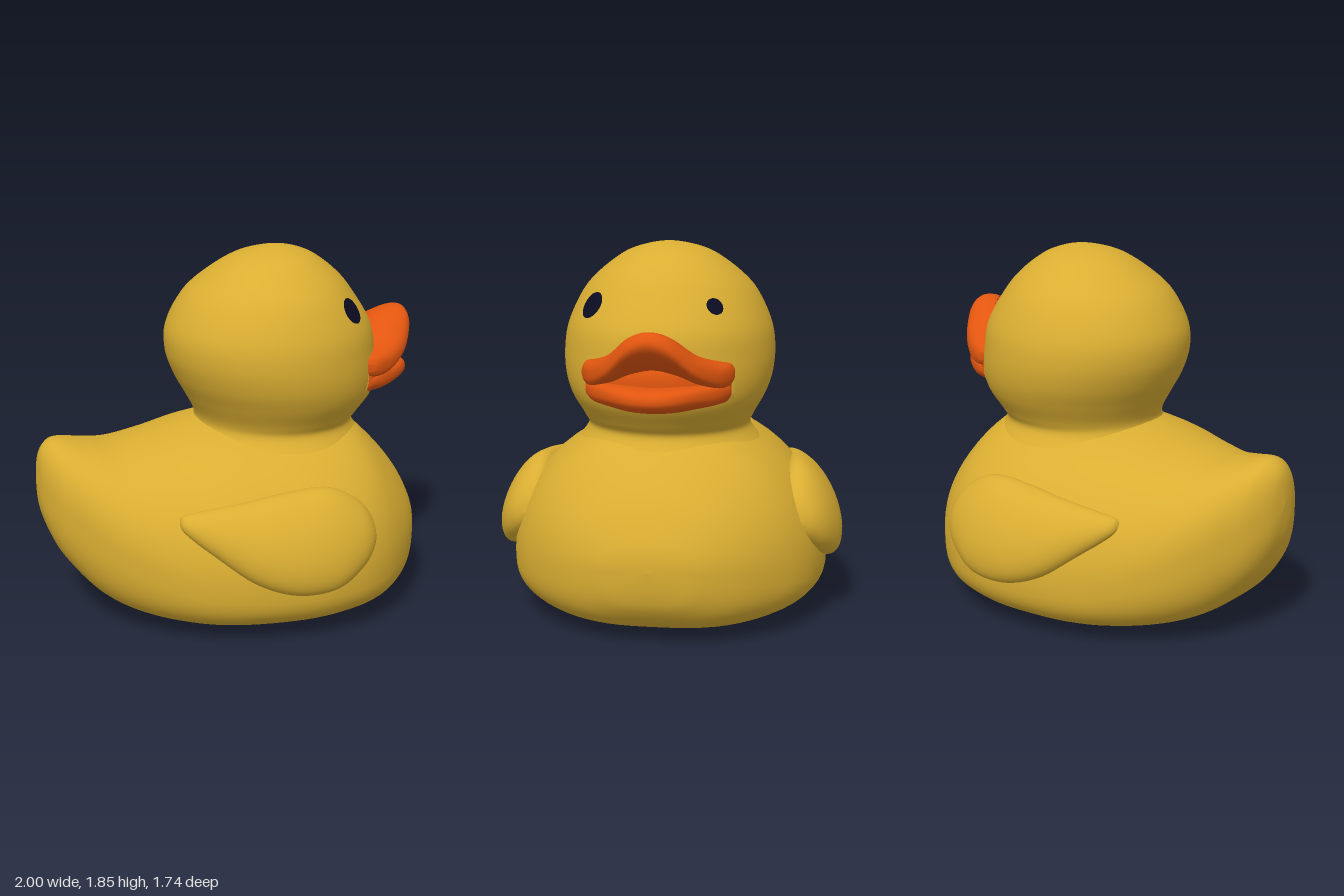
import * as THREE from 'three';

const yellow = new THREE.MeshStandardMaterial({ name: 'yellow', color: 0xdaae32 });
const orange = new THREE.MeshStandardMaterial({ name: 'orange', color: 0xe2560f });
const navy = new THREE.MeshStandardMaterial({ name: 'navy', color: 0x0c0c22 });

// Smooth interpolation through rows of section parameters, t in 0..1
function rowAt(rows, t) {
  const last = rows.length - 1;
  const i = Math.min(Math.floor(t * last), last - 1);
  const f = t * last - i;
  const a = rows[Math.max(i - 1, 0)], b = rows[i], c = rows[i + 1], d = rows[Math.min(i + 2, last)];
  return b.map((v, k) => v + 0.5 * f * (c[k] - a[k]
    + f * (2 * a[k] - 5 * v + 4 * c[k] - d[k] + f * (3 * (v - c[k]) + d[k] - a[k]))));
}

// Closed skin over rings; point(row, angle) returns one ring point
function loft(rows, point, along = 72, around = 64) {
  const pos = [], idx = [];
  for (let i = 0; i <= along; i++) {
    const row = rowAt(rows, i / along);
    for (let j = 0; j < around; j++) pos.push(...point(row, (j / around) * Math.PI * 2));
  }
  for (let i = 0; i < along; i++) {
    for (let j = 0; j < around; j++) {
      const k = (j + 1) % around;
      const a = i * around + j, b = i * around + k, c = a + around, d = b + around;
      idx.push(a, b, c, b, d, c);
    }
  }
  // End caps
  for (const ring of [0, along]) {
    const mid = [0, 0, 0];
    for (let j = 0; j < around; j++) {
      for (let k = 0; k < 3; k++) mid[k] += pos[(ring * around + j) * 3 + k] / around;
    }
    const m = pos.length / 3;
    pos.push(...mid);
    for (let j = 0; j < around; j++) {
      const a = ring * around + j, b = ring * around + (j + 1) % around;
      if (ring) idx.push(a, b, m); else idx.push(b, a, m);
    }
  }
  // Turn the faces outward
  const v = (i) => new THREE.Vector3().fromArray(pos, i * 3);
  let volume = 0;
  for (let i = 0; i < idx.length; i += 3) volume += v(idx[i]).dot(v(idx[i + 1]).cross(v(idx[i + 2])));
  if (volume < 0) idx.reverse();
  const geo = new THREE.BufferGeometry();
  geo.setAttribute('position', new THREE.Float32BufferAttribute(pos, 3));
  geo.setIndex(idx);
  geo.computeVertexNormals();
  return geo;
}

const power = (v, n) => Math.sign(v) * Math.abs(v) ** (2 / n);

// Body section: round above its widest level, squarer below
function bodyPoint([x, bottom, mid, top, width], a) {
  const s = Math.sin(a), c = Math.cos(a);
  if (s >= 0) return [x, mid + (top - mid) * s, width * c];
  return [x, mid + (mid - bottom) * power(s, 3), width * power(c, 3)];
}

const headPoint = ([y, cx, rx, rz], a) => [cx + rx * Math.cos(a), y, rz * Math.sin(a)];

// Wing section: upright ellipse leaning in at the top
function wingPoint([x, y, h, z, t], a) {
  const dy = h * Math.sin(a);
  return [x, y + dy, z + t * Math.cos(a) - 0.33 * dy];
}

// Lip section: rounded blade from its root to its tip
function lipPoint([z, x0, y0, x1, y1, b], a) {
  const u = power(Math.cos(a), 2.5) / 2, w = power(Math.sin(a), 2.5) * b;
  const dx = x1 - x0, dy = y1 - y0, len = Math.hypot(dx, dy);
  return [(x0 + x1) / 2 + dx * u - (dy / len) * w, (y0 + y1) / 2 + dy * u + (dx / len) * w, z];
}

// Mirror rows listed from the middle (z = 0) outward
const mirrorRows = (half) => [
  ...half.slice(1).reverse().map(([z, ...rest]) => [-z, ...rest]), ...half];

// Round eye draped over the head
function eyeGeometry(head, at, radius) {
  const centre = new THREE.Vector3(0.23, 1.33, 0);
  const ray = new THREE.Raycaster();
  const cast = (from) => {
    ray.set(from, centre.clone().sub(from).normalize());
    return ray.intersectObject(head)[0];
  };
  const start = new THREE.Vector3(...at).sub(centre).setLength(1).add(centre);
  const hit = cast(start);
  const turn = new THREE.Quaternion().setFromUnitVectors(new THREE.Vector3(0, 0, 1), hit.face.normal);
  const geo = new THREE.RingGeometry(0.0005, radius, 36, 5);
  const p = geo.attributes.position;
  for (let i = 0; i < p.count; i++) {
    const v = new THREE.Vector3().fromBufferAttribute(p, i).applyQuaternion(turn)
      .add(hit.point).addScaledVector(hit.face.normal, 0.2);
    const spot = cast(v).point.addScaledVector(hit.face.normal, 0.006);
    p.setXYZ(i, spot.x, spot.y, spot.z);
  }
  geo.computeVertexNormals();
  return geo;
}

export function createModel() {
  const group = new THREE.Group();
  const add = (name, geo, material) => {
    const mesh = new THREE.Mesh(geo, material);
    mesh.name = name;
    group.add(mesh);
    return mesh;
  };

  // Body with upturned tail: x, bottom, widest level, top, half width
  add('body', loft([
    [-1, 0.72, 0.72, 0.72, 0], [-0.985, 0.57, 0.7, 0.86, 0.09], [-0.94, 0.43, 0.66, 0.925, 0.19],
    [-0.88, 0.32, 0.62, 0.94, 0.27], [-0.75, 0.17, 0.52, 0.915, 0.41], [-0.6, 0.08, 0.43, 0.895, 0.53],
    [-0.4, 0.03, 0.35, 0.92, 0.65], [-0.15, 0.005, 0.31, 0.97, 0.745], [0.2, 0, 0.3, 1, 0.79],
    [0.45, 0.01, 0.3, 0.99, 0.755], [0.62, 0.02, 0.31, 0.94, 0.68], [0.76, 0.04, 0.33, 0.82, 0.565],
    [0.88, 0.09, 0.35, 0.68, 0.42], [0.96, 0.18, 0.37, 0.54, 0.26], [0.99, 0.27, 0.38, 0.46, 0.13],
    [1, 0.38, 0.38, 0.38, 0],
  ], bodyPoint, 90), yellow);

  // Head and neck: y, centre x, radius x, radius z
  const head = add('head', loft([
    [0.85, 0.25, 0.47, 0.47], [0.94, 0.25, 0.415, 0.405], [1, 0.27, 0.43, 0.42], [1.1, 0.28, 0.49, 0.475],
    [1.2, 0.26, 0.525, 0.51], [1.32, 0.235, 0.54, 0.52], [1.45, 0.225, 0.525, 0.5], [1.6, 0.22, 0.44, 0.43],
    [1.7, 0.235, 0.345, 0.34], [1.79, 0.25, 0.215, 0.215], [1.83, 0.265, 0.1, 0.1], [1.845, 0.27, 0, 0],
  ], headPoint), yellow);
  head.updateMatrixWorld();

  // Wings: x, centre y, half height, centre z, half thickness
  const wing = [
    [-0.42, 0.63, 0, 0.56, 0], [-0.4, 0.63, 0.04, 0.57, 0.04], [-0.3, 0.6, 0.095, 0.62, 0.07],
    [-0.1, 0.54, 0.185, 0.68, 0.11], [0.1, 0.52, 0.235, 0.71, 0.13], [0.3, 0.53, 0.235, 0.72, 0.12],
    [0.45, 0.535, 0.165, 0.7, 0.1], [0.53, 0.53, 0.08, 0.68, 0.06], [0.555, 0.52, 0, 0.67, 0],
  ];
  for (const side of [1, -1]) {
    add(side > 0 ? 'wingNear' : 'wingFar', loft(wing, (row, a) => {
      const [x, y, z] = wingPoint(row, a);
      return [x, y, z * side];
    }, 48, 40), yellow);
  }

  // Bill parts: z, root x, root y, tip x, tip y, half thickness
  const bill = (name, half, material) => add(name, loft(mirrorRows(half), lipPoint, 64, 36), material);
  bill('billCollar', [
    [0, 0.58, 1.22, 0.78, 1.22, 0.13], [0.2, 0.57, 1.22, 0.74, 1.22, 0.13],
    [0.32, 0.55, 1.22, 0.66, 1.22, 0.12], [0.355, 0.55, 1.22, 0.64, 1.22, 0.1],
  ], yellow);
  bill('mouth', [
    [0, 0.6, 1.22, 0.83, 1.22, 0.12], [0.2, 0.59, 1.22, 0.79, 1.22, 0.11],
    [0.31, 0.58, 1.21, 0.71, 1.21, 0.09], [0.345, 0.58, 1.21, 0.66, 1.21, 0.06],
  ], orange);
  bill('upperBill', [
    [0, 0.64, 1.28, 0.985, 1.46, 0.07], [0.1, 0.64, 1.27, 0.97, 1.425, 0.07],
    [0.2, 0.63, 1.26, 0.91, 1.325, 0.065], [0.29, 0.61, 1.26, 0.81, 1.265, 0.06],
    [0.34, 0.6, 1.26, 0.73, 1.255, 0.05], [0.36, 0.61, 1.26, 0.68, 1.255, 0.02],
  ], orange);
  bill('lowerBill', [
    [0, 0.62, 1.125, 0.975, 1.175, 0.06], [0.1, 0.62, 1.13, 0.96, 1.18, 0.06],
    [0.2, 0.61, 1.14, 0.89, 1.185, 0.055], [0.29, 0.59, 1.16, 0.78, 1.18, 0.05],
    [0.335, 0.59, 1.17, 0.7, 1.18, 0.03], [0.345, 0.6, 1.17, 0.67, 1.18, 0.01],
  ], orange);

  // Eyes, one larger than the other
  add('eyeNear', eyeGeometry(head, [0.54, 1.53, 0.31], 0.096), navy);
  add('eyeFar', eyeGeometry(head, [0.6, 1.545, -0.25], 0.06), navy);

  return group;
}
